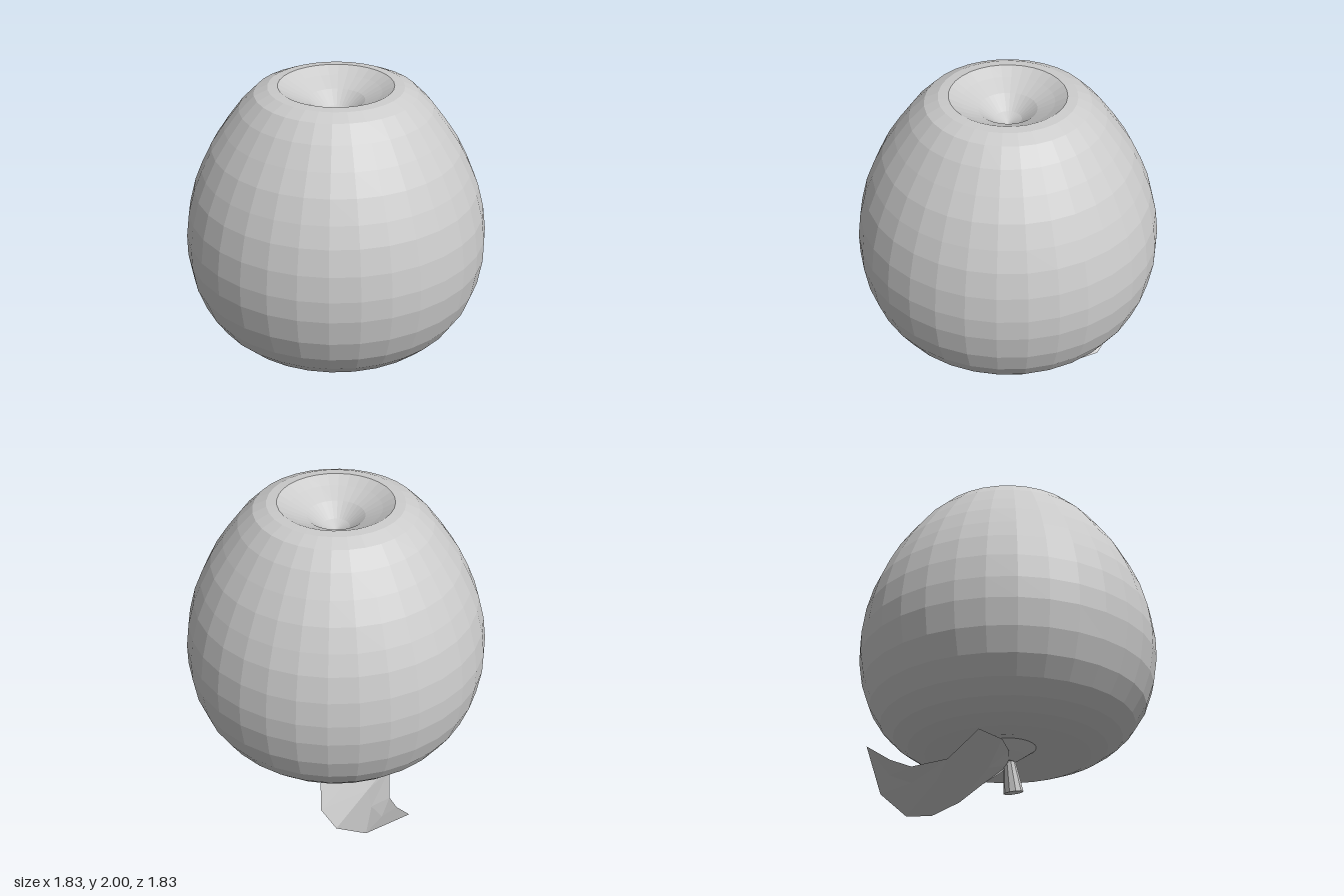
import * as THREE from 'three';

const material = new THREE.MeshStandardMaterial({ color: 0xcccccc, flatShading: true });
const leafMaterial = new THREE.MeshStandardMaterial({ color: 0xcccccc, flatShading: true, side: THREE.DoubleSide });

function addMesh(group, name, geometry, mat = material) {
  const mesh = new THREE.Mesh(geometry, mat);
  mesh.name = name;
  group.add(mesh);
  return mesh;
}

// Joins rows of points (all the same length) into a sheet
function loft(rows) {
  const n = rows[0].length, index = [];
  for (let r = 0; r < rows.length - 1; r++) {
    for (let k = 0; k < n - 1; k++) {
      const a = r * n + k, b = a + n;
      index.push(a, b, a + 1, b, b + 1, a + 1);
    }
  }
  const geometry = new THREE.BufferGeometry();
  geometry.setAttribute('position', new THREE.Float32BufferAttribute(rows.flat(2), 3));
  geometry.setIndex(index);
  geometry.computeVertexNormals();
  return geometry;
}

export function createModel() {
  const apple = new THREE.Group();
  apple.name = 'apple';

  // Fruit body: stem hollow below, widest at the middle, dimple on top
  const profile = [
    [0, 0.32], [0.04, 0.32], [0.1, 0.36], [0.17, 0.41], [0.3, 0.38], [0.5, 0.36],
    [0.6, 0.4], [0.69, 0.46], [0.77, 0.54], [0.84, 0.65], [0.89, 0.79], [0.915, 0.95],
    [0.915, 1.08], [0.895, 1.23], [0.855, 1.38], [0.805, 1.5], [0.74, 1.63], [0.66, 1.75],
    [0.57, 1.87], [0.48, 1.96], [0.4, 1.995], [0.34, 2], [0.27, 1.96], [0.17, 1.91],
    [0.08, 1.84], [0, 1.8],
  ].map(([r, y]) => new THREE.Vector2(r, y));
  addMesh(apple, 'fruitBody', new THREE.LatheGeometry(profile, 32));

  // Stem, flaring towards its free lower end
  const stem = addMesh(apple, 'stem', new THREE.CylinderGeometry(0.035, 0.06, 0.2, 10));
  stem.position.set(0.03, 0.24, 0);
  stem.rotation.z = 0.2;

  // Folded leaf: each row runs back edge, midrib, front edge, from stem to tip
  const tip = [-0.81, 0.28, -0.35];
  addMesh(apple, 'leaf', loft([
    [[-0.02, 0.26, -0.03], [0, 0.3, 0], [-0.08, 0.35, 0.08]],
    [[-0.06, 0.2, -0.15], [-0.15, 0.25, -0.02], [-0.25, 0.35, 0.18]],
    [[-0.1, 0.11, -0.3], [-0.28, 0.2, -0.1], [-0.46, 0.35, 0.19]],
    [[-0.2, 0.03, -0.43], [-0.4, 0.14, -0.2], [-0.46, 0.23, -0.05]],
    [[-0.36, 0, -0.48], [-0.5, 0.13, -0.3], [-0.58, 0.19, -0.22]],
    [[-0.58, 0.08, -0.47], [-0.62, 0.16, -0.36], [-0.68, 0.22, -0.29]],
    [tip, tip, tip],
  ]), leafMaterial);

  return apple;
}
